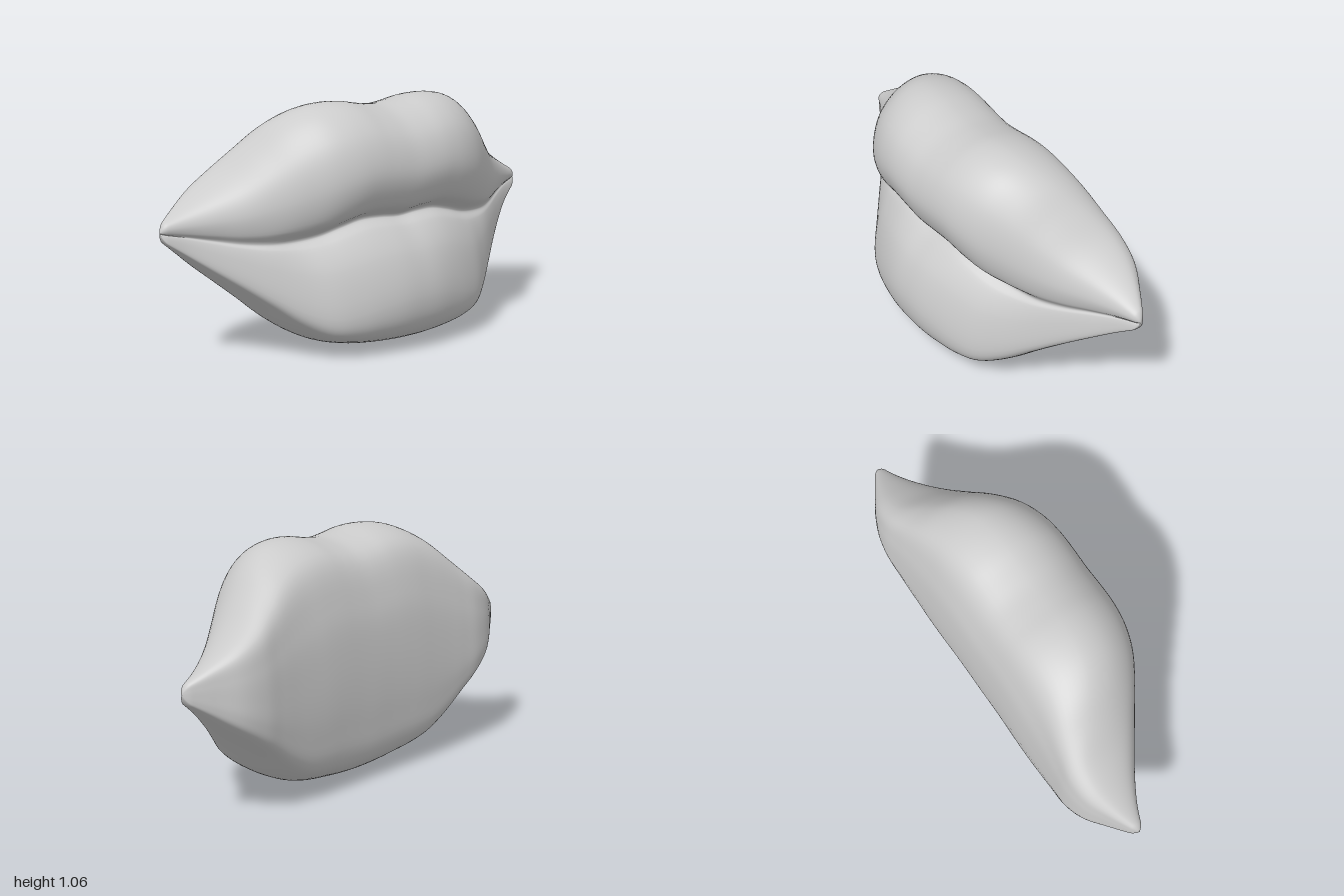
import * as THREE from 'three';

// Rails sampled at |x| = 0, 0.1 ... 1 (the shape is mirrored in x)
const RAILS = {
  topY: [1.03, 1.04, 1.057, 1.057, 1.035, 0.98, 0.89, 0.80, 0.73, 0.665, 0.603],
  bottomY: [0.003, 0.006, 0.016, 0.032, 0.063, 0.13, 0.22, 0.305, 0.385, 0.465, 0.542],
  seamY: [0.565, 0.573, 0.573, 0.552, 0.525, 0.51, 0.506, 0.513, 0.53, 0.55, 0.57],
  seamZ: [0.14, 0.138, 0.13, 0.12, 0.10, 0.07, 0.035, -0.02, -0.08, -0.13, -0.165],
  upperZ: [0.275, 0.275, 0.27, 0.255, 0.22, 0.16, 0.09, 0.02, -0.05, -0.11, -0.155],
  lowerZ: [0.327, 0.323, 0.305, 0.277, 0.235, 0.165, 0.09, 0.015, -0.055, -0.115, -0.155],
  backZ: [-0.315, -0.315, -0.317, -0.32, -0.322, -0.325, -0.33, -0.333, -0.31, -0.25, -0.185],
  crestZ: [-0.02, -0.02, -0.02, -0.03, -0.05, -0.10, -0.17, -0.23, -0.24, -0.215, -0.17],
  baseZ: [0, 0, 0, -0.01, -0.03, -0.07, -0.11, -0.14, -0.16, -0.17, -0.17],
};
const mix = THREE.MathUtils.lerp;

// Smooth value of a rail at x
function rail(values, x) {
  const n = values.length - 1;
  const t = Math.abs(x) * n;
  const i = Math.min(Math.floor(t), n - 1);
  const f = t - i;
  const p = (k) => (k > n ? 2 * values[n] - values[n - 1] : values[Math.abs(k)]);
  const [a, b, c, d] = [p(i - 1), p(i), p(i + 1), p(i + 2)];
  return b + 0.5 * f * (c - a + f * (2 * a - 5 * b + 4 * c - d + f * (3 * (b - c) + d - a)));
}

// Closed cross-section at x: seam, upper lip, back, underside, lower lip
function section(x) {
  const r = {};
  for (const key in RAILS) r[key] = rail(RAILS[key], x);
  const { seamY, seamZ, upperZ, lowerZ, backZ, crestZ, baseZ, topY, bottomY } = r;
  const up = (f) => mix(seamY, topY, f);
  const low = (f) => mix(bottomY, seamY, f);
  const full = 0.44 - 0.24 * THREE.MathUtils.smoothstep(Math.abs(x), 0, 0.65);
  const points = [
    [seamZ, seamY],
    [mix(seamZ, upperZ, 0.65), up(0.13)],
    [upperZ, up(0.41)],
    [mix(upperZ, crestZ, 0.14), up(0.73)],
    [mix(upperZ, crestZ, 0.52), up(0.94)],
    [crestZ, topY],
    [mix(crestZ, backZ, 0.62), up(0.86)],
    [mix(crestZ, backZ, 0.9), up(0.45)],
    [backZ, seamY],
    [backZ, low(0.5)],
    [mix(backZ, baseZ, 0.09), low(0.19)],
    [mix(backZ, baseZ, 0.4), low(0.05)],
    [baseZ, bottomY],
    [mix(lowerZ, baseZ, 0.25), low(full * 0.23)],
    [mix(lowerZ, baseZ, 0.06), low(full * 0.5)],
    [lowerZ, low(full)],
    [mix(lowerZ, seamZ, 0.25), low(mix(full, 1, 0.55))],
    [mix(lowerZ, seamZ, 0.68), low(mix(full, 1, 0.88))],
  ].map(([z, y]) => new THREE.Vector3(x, y, z));
  return new THREE.CatmullRomCurve3(points, true, 'centripetal');
}

export function createModel() {
  const rings = 120;
  const around = 108;
  const positions = [];
  const index = [];
  const p = new THREE.Vector3();

  for (let i = 0; i <= rings; i++) {
    const x = Math.sin((i / rings - 0.5) * Math.PI);
    const curve = section(x);
    // Round off the mouth corners
    const e = Math.max(0, (Math.abs(x) - 0.975) / 0.025);
    const size = Math.sqrt(Math.max(0, 1 - e * e));
    for (let j = 0; j < around; j++) {
      curve.getPoint(j / around, p);
      positions.push(x, mix(0.572, p.y, size), mix(-0.17, p.z, size));
      if (i < rings) {
        const a = i * around + j;
        const d = i * around + ((j + 1) % around);
        index.push(a, a + around, d + around, a, d + around, d);
      }
    }
  }

  const geometry = new THREE.BufferGeometry();
  geometry.setAttribute('position', new THREE.Float32BufferAttribute(positions, 3));
  geometry.setIndex(index);
  geometry.computeVertexNormals();

  const lips = new THREE.Mesh(geometry, new THREE.MeshStandardMaterial({ color: 0xcccccc }));
  lips.name = 'lips';
  const group = new THREE.Group();
  group.name = 'mouth';
  group.add(lips);
  return group;
}
